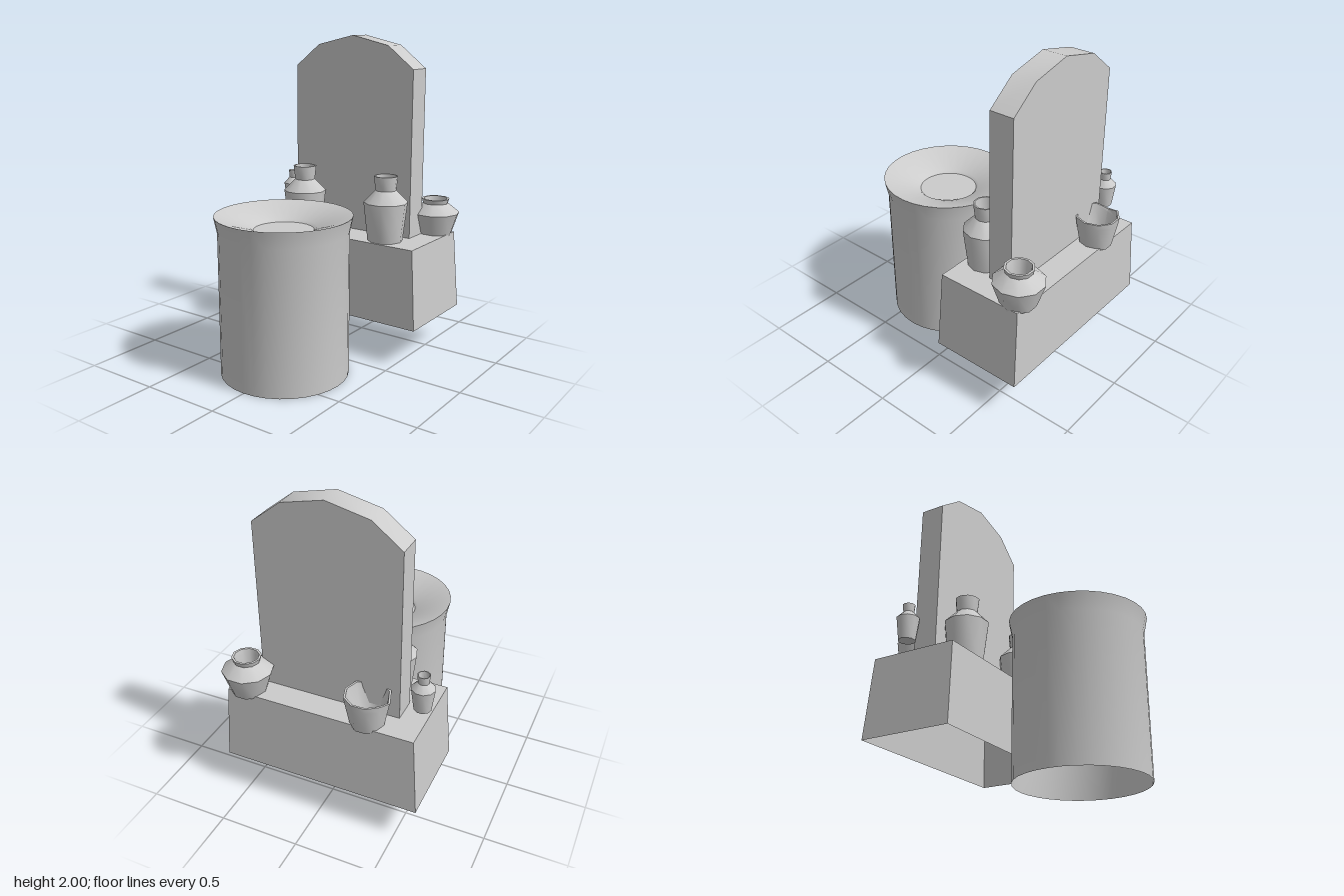
import * as THREE from 'three';
import { toCreasedNormals } from 'three/addons/utils/BufferGeometryUtils.js';

const grey = new THREE.MeshStandardMaterial({ color: 0xcccccc, side: THREE.DoubleSide });

function add(parent, name, geometry, x = 0, y = 0, z = 0) {
  const mesh = new THREE.Mesh(geometry, grey);
  mesh.name = name;
  mesh.position.set(x, y, z);
  parent.add(mesh);
  return mesh;
}

// Revolve [radius, height] pairs; a corner always lies on the x axis
function lathe(profile, sides) {
  const points = profile.map(([r, y]) => new THREE.Vector2(r, y));
  return new THREE.LatheGeometry(points, sides, Math.PI / 2);
}

// Ten-sided hollow vessels, from the outer foot over the lip to the inner floor
const VASE = [[0, 0], [0.11, 0], [0.138, 0.245], [0.065, 0.32], [0.075, 0.41],
  [0.066, 0.41], [0.057, 0.32], [0.05, 0.22], [0, 0.21]];
const SMALL_VASE = [[0, 0], [0.052, 0], [0.071, 0.142], [0.033, 0.182], [0.038, 0.232],
  [0.033, 0.232], [0.027, 0.182], [0.025, 0.13], [0, 0.125]];
const POT = [[0, 0], [0.105, 0], [0.155, 0.152], [0.08, 0.212], [0.089, 0.242],
  [0.075, 0.242], [0.068, 0.212], [0.065, 0.14], [0, 0.12]];
const BOWL = [[0, 0], [0.1, 0], [0.132, 0.165], [0.137, 0.203],
  [0.125, 0.203], [0.118, 0.165], [0.085, 0.03], [0, 0.02]];

export function createModel() {
  const model = new THREE.Group();
  model.name = 'memorialWithBasin';

  // Round basin: open underneath, flared rim, shallow dish
  const basin = lathe([[0.39, 0], [0.39, 0.88], [0.411, 0.98],
    [0.195, 0.905], [0.18, 0.89], [0, 0.89]], 32);
  add(model, 'basin', toCreasedNormals(basin, 0.6), -0.005, 0, 0.35);

  // Tapered plinth, open underneath
  const box = new THREE.BoxGeometry(1.255, 0.5, 0.585);
  const pos = box.attributes.position;
  for (let i = 0; i < pos.count; i++) {
    if (pos.getY(i) > 0) pos.setXYZ(i, pos.getX(i) * 0.944, 0.25, pos.getZ(i) * 0.945);
  }
  const faces = Array.from(box.index.array);
  faces.splice(18, 6);
  box.setIndex(faces);
  box.computeVertexNormals();
  add(model, 'plinth', box, -0.006, 0.495, -0.41);

  // Upright slab with a faceted arched top
  const outline = [[-0.442, 0.745], [0.442, 0.745], [0.442, 1.8], [0.262, 1.94],
    [0, 2], [-0.262, 1.94], [-0.442, 1.8]].map(([x, y]) => new THREE.Vector2(x, y));
  const slab = new THREE.ExtrudeGeometry(new THREE.Shape(outline), { depth: 0.156, bevelEnabled: false });
  add(model, 'slab', toCreasedNormals(slab, 0.6), -0.007, 0, -0.522);

  // Offerings around the slab
  for (const [name, x] of [['rightVase', -0.3], ['leftVase', 0.327]]) {
    add(model, name, toCreasedNormals(lathe(VASE, 10), 0.7), x, 0.745, -0.25);
  }
  add(model, 'smallVase', toCreasedNormals(lathe(SMALL_VASE, 10), 0.7), -0.57, 0.828, -0.482);
  add(model, 'pot', toCreasedNormals(lathe(POT, 10), 0.7), 0.483, 0.727, -0.615);

  // Bowl with one chip in its lip
  const bowl = lathe(BOWL, 10);
  const bp = bowl.attributes.position;
  for (let i = 0; i < bp.count; i++) {
    if (bp.getY(i) > 0.2 && bp.getX(i) < -0.12) bp.setY(i, 0.18);
  }
  add(model, 'bowl', toCreasedNormals(bowl, 0.7), -0.29, 0.727, -0.612);

  return model;
}
